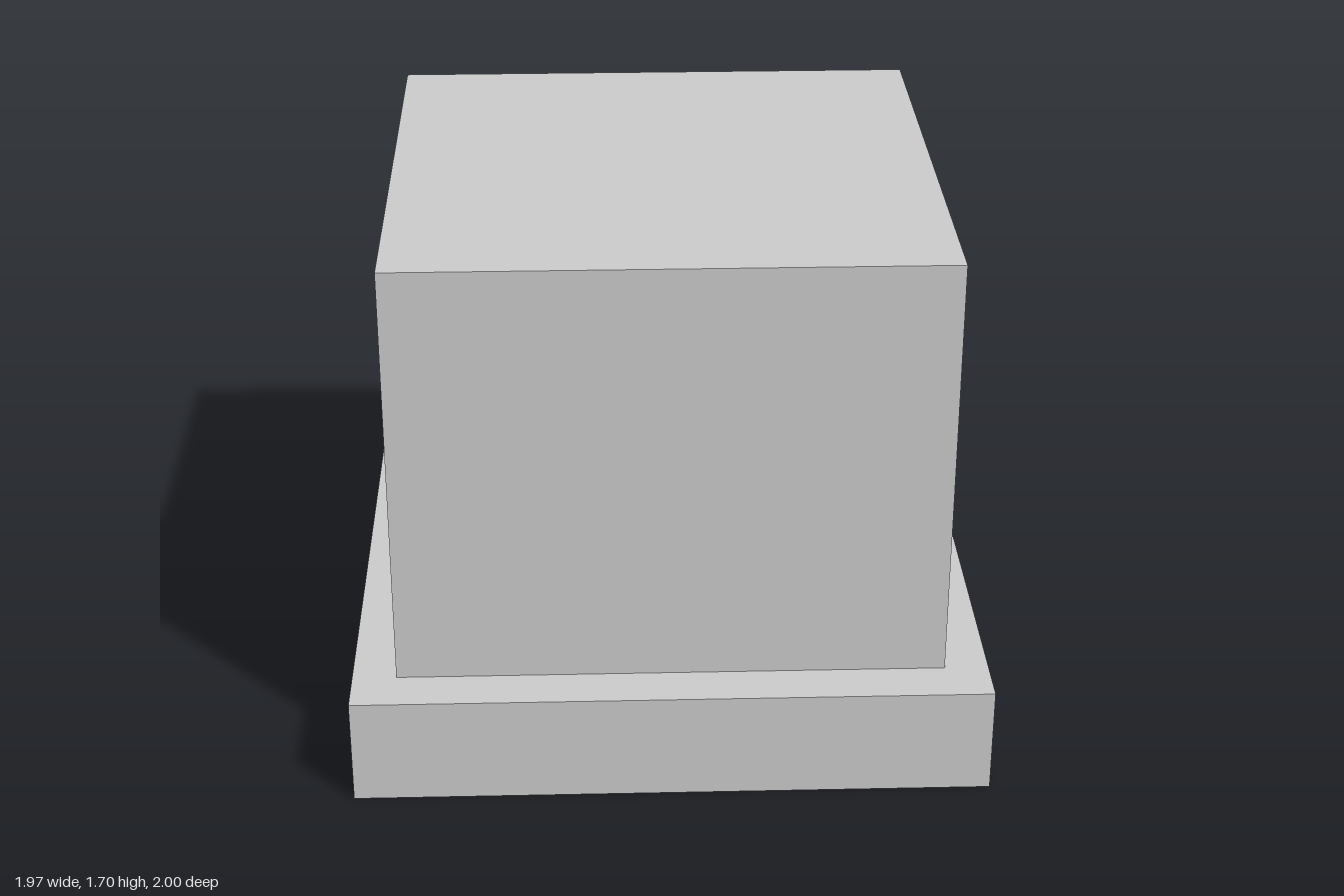
import * as THREE from 'three';

export function createModel() {
  const group = new THREE.Group();
  group.name = 'blockOnPlinth';
  const material = new THREE.MeshStandardMaterial({ color: 0xcccccc, flatShading: true });

  // Box standing on height y
  const addBox = (name, width, height, depth, y) => {
    const mesh = new THREE.Mesh(new THREE.BoxGeometry(width, height, depth), material);
    mesh.name = name;
    mesh.position.y = y + height / 2;
    group.add(mesh);
  };

  const baseHeight = 0.34;
  // Wide, low plinth
  addBox('base', 1.966, baseHeight, 2, 0);
  // Tall block centred on the plinth
  addBox('block', 1.694, 1.357, 1.694, baseHeight);

  return group;
}
